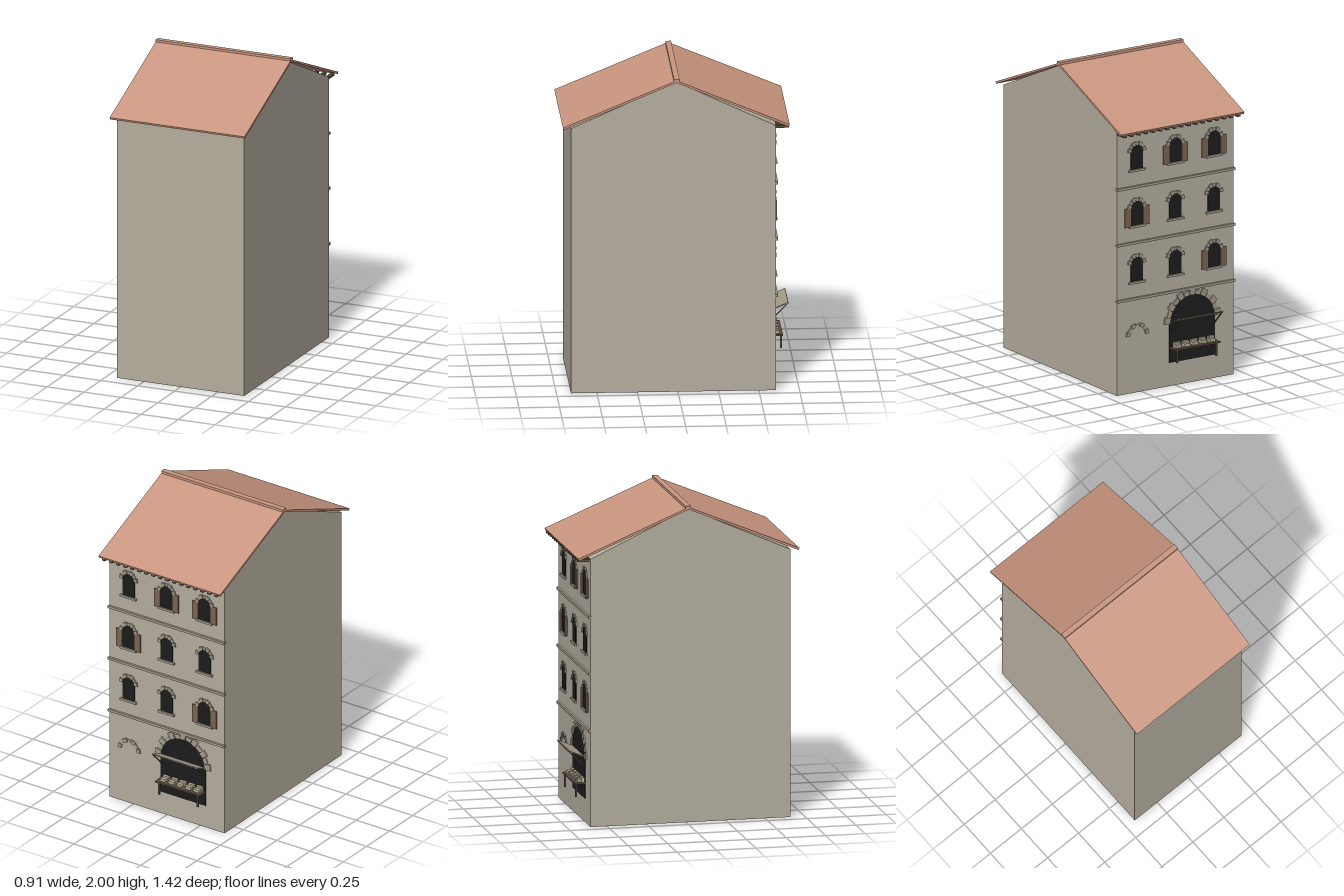
import * as THREE from 'three';

const mat = (name, color, side = THREE.FrontSide) => {
  const m = new THREE.MeshStandardMaterial({ color, side });
  m.name = name;
  return m;
};

export function createModel() {
  const model = new THREE.Group();
  model.name = 'townhouse';
  const plaster = mat('plaster', 0xb5ae9f);
  const tile = mat('roof tile', 0xc9967f);
  const stone = mat('trim stone', 0xa39b8b);
  const dark = mat('dark opening', 0x1c1c1c);
  const shutterWood = mat('shutter wood', 0x7d6452);
  const wood = mat('dark wood', 0x5c4f43);
  const canvas = mat('awning board', 0xa29a88, THREE.DoubleSide);
  const goodsColor = mat('goods', 0xb9ae98);

  const add = (parent, name, geo, material) => {
    const mesh = new THREE.Mesh(geo, material);
    mesh.name = name;
    parent.add(mesh);
    return mesh;
  };
  const box = (parent, name, w, h, d, x, y, z, material) => {
    const mesh = add(parent, name, new THREE.BoxGeometry(w, h, d), material);
    mesh.position.set(x, y, z);
    return mesh;
  };
  // Side profile given as [z, y] points, extruded across the width of the house
  const acrossHouse = (name, points, x0, x1, material) => {
    const shape = new THREE.Shape(points.map(([z, y]) => new THREE.Vector2(-z, y)));
    const geo = new THREE.ExtrudeGeometry(shape, { depth: x1 - x0, bevelEnabled: false });
    geo.rotateY(Math.PI / 2).translate(x0, 0, 0);
    return add(model, name, geo, material);
  };

  // Gabled body and roof
  acrossHouse('walls', [[0.66, 0], [0.66, 1.69], [0.012, 1.978], [-0.605, 1.69], [-0.605, 0]], -0.432, 0.43, plaster);
  acrossHouse('frontRoofSlope', [[0.706, 1.688], [0.711, 1.701], [0.01, 1.992], [0.01, 1.978]], -0.457, 0.455, tile);
  acrossHouse('backRoofSlope', [[-0.684, 1.688], [-0.689, 1.701], [0.01, 1.992], [0.01, 1.978]], -0.457, 0.455, tile);
  box(model, 'ridgeCap', 0.912, 0.016, 0.035, -0.001, 1.992, 0.008, tile);

  // Detailed facade: local +z points out of the back wall, local +x is the model's right
  const facade = new THREE.Group();
  facade.name = 'facade';
  facade.rotation.y = Math.PI;
  facade.position.z = -0.605;
  model.add(facade);

  // Rafter ends below the eave
  const rafters = 17;
  for (let i = 0; i < rafters; i++) {
    box(facade, 'rafterEnd', 0.022, 0.016, 0.085, -0.42 + (0.84 * i) / (rafters - 1), 1.683, 0.037, wood);
  }
  // String courses between floors
  for (const y of [0.605, 0.965, 1.323]) box(facade, 'stringCourse', 0.872, 0.016, 0.02, 0.001, y, 0.004, stone);

  // Thin round-headed plate
  const archPlate = (parent, name, r, bottom, spring) => {
    const s = new THREE.Shape();
    s.moveTo(-r, bottom);
    s.lineTo(r, bottom);
    s.lineTo(r, spring);
    s.absarc(0, spring, r, 0, Math.PI, false);
    s.closePath();
    return add(parent, name, new THREE.ExtrudeGeometry(s, { depth: 0.004, bevelEnabled: false, curveSegments: 16 }), dark);
  };
  // Ring of wedge stones with slightly uneven outer edges
  const archStones = (parent, r0, r1, spring, count, from = 0, to = Math.PI) => {
    for (let i = 0; i < count; i++) {
      const step = (to - from) / count;
      const a = from + step * (i + 0.06), b = from + step * (i + 0.94);
      const outer = r1 + (i % 2 ? -0.05 : 0.03) * r1;
      const p = (r, t) => new THREE.Vector2(r * Math.cos(t), spring + r * Math.sin(t));
      const shape = new THREE.Shape([p(r0, a), p(outer, a), p(outer, b), p(r0, b)]);
      add(parent, 'archStone', new THREE.ExtrudeGeometry(shape, { depth: i % 2 ? 0.006 : 0.009, bevelEnabled: false }), stone);
    }
  };

  // Three floors of windows; a few have open shutters
  const shuttered = [[2], [0], [1, 2]];
  for (let row = 0; row < 3; row++) {
    for (let col = 0; col < 3; col++) {
      const win = new THREE.Group();
      win.name = 'window';
      win.position.set((col - 1) * 0.285, 0.705 + row * 0.36, 0);
      facade.add(win);
      archPlate(win, 'windowOpening', 0.045, 0.005, 0.122);
      archStones(win, 0.045, 0.066, 0.122, 7);
      box(win, 'sill', 0.12, 0.014, 0.018, 0, 0.004, 0.005, stone);
      if (shuttered[row].includes(col)) {
        for (const side of [-1, 1]) {
          box(win, 'shutter', 0.044, 0.122, 0.008, side * 0.069, 0.066, 0.005, shutterWood);
        }
      }
    }
  }

  // Blind arch remnant
  const blind = new THREE.Group();
  blind.name = 'blindArch';
  blind.position.x = -0.28;
  facade.add(blind);
  archStones(blind, 0.06, 0.083, 0.362, 7, 0.05, Math.PI - 0.05);

  // Arched shop opening
  const shop = new THREE.Group();
  shop.name = 'shopFront';
  shop.position.x = 0.124;
  facade.add(shop);
  archPlate(shop, 'shopOpening', 0.168, 0.15, 0.4);
  archStones(shop, 0.165, 0.202, 0.4, 13);

  // Propped-up awning board with struts
  const awning = box(shop, 'awning', 0.335, 0.006, 0.108, 0, 0.431, 0.05, canvas);
  awning.rotation.x = -Math.atan2(0.042, 0.1);
  for (const x of [-0.16, 0.16]) {
    const strut = box(shop, 'awningStrut', 0.007, 0.006, 0.142, x, 0.398, 0.049, wood);
    strut.rotation.x = -Math.atan2(0.1, 0.098);
  }

  // Market counter with goods
  box(shop, 'counterTop', 0.335, 0.01, 0.066, 0, 0.245, 0.033, wood);
  for (const x of [-0.145, 0.145]) box(shop, 'counterLeg', 0.012, 0.082, 0.01, x, 0.2, 0.055, wood);
  for (let i = 0; i < 5; i++) {
    const x = -0.125 + i * 0.0625;
    box(shop, 'goodsCrate', 0.042, 0.018, 0.022, x, 0.259, 0.034, goodsColor);
    box(shop, 'goodsCrateBack', 0.046, 0.029, 0.02, x + 0.006, 0.2645, 0.012, goodsColor);
  }
  return model;
}
